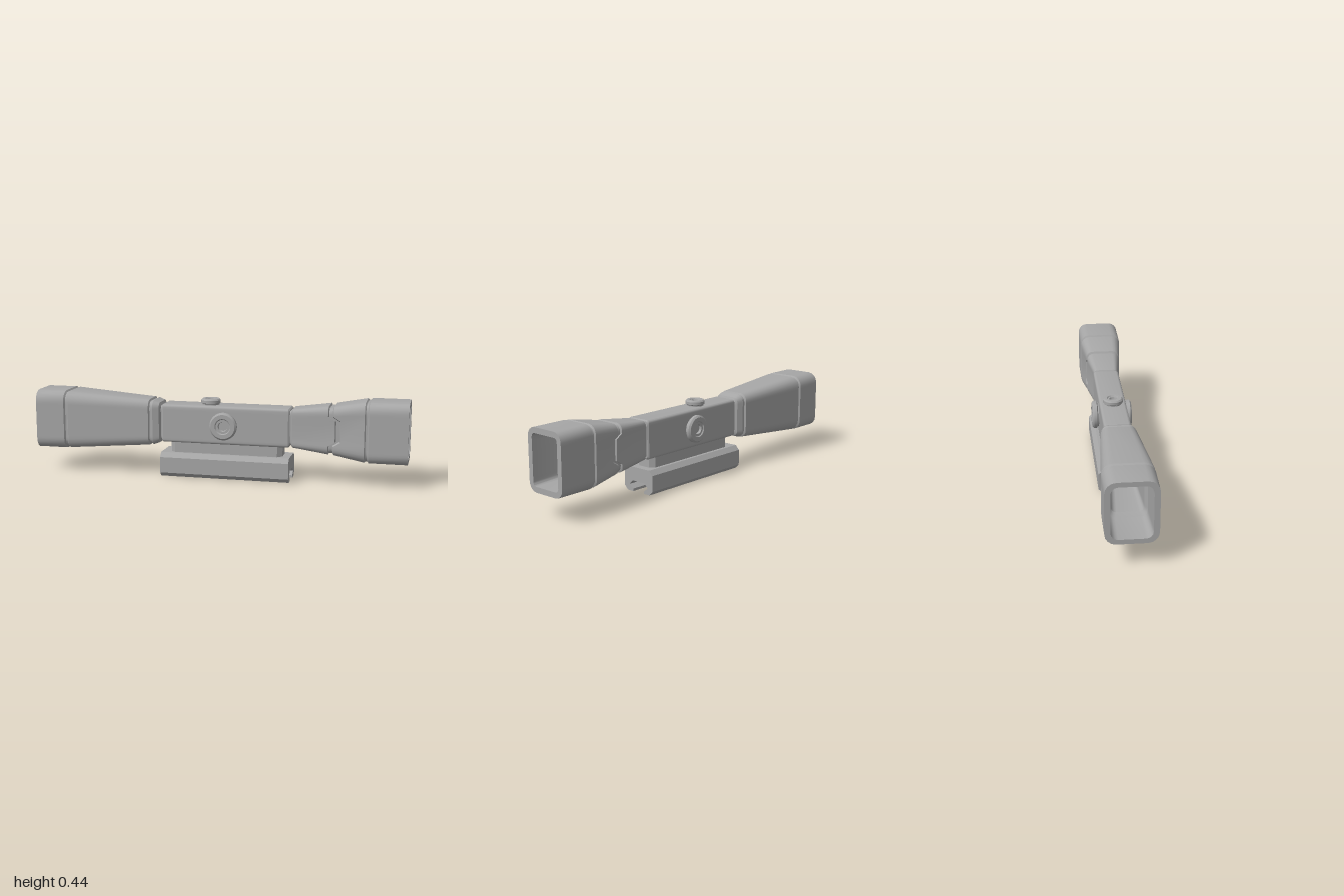
import * as THREE from 'three';
import { toCreasedNormals } from 'three/addons/utils/BufferGeometryUtils.js';

const CY = 0.286; // height of the optical axis

// Rounded-rectangle cross-section at x; jog pushes the middle of both sides along x
function ring([x, hy, hz, r, jog = 0]) {
  const pts = [], steps = 4;
  const corner = (sy, sz, start) => {
    for (let i = 0; i <= steps; i++) {
      const a = start + (i / steps) * Math.PI / 2;
      pts.push([x, CY + sy * (hy - r) + r * Math.cos(a), sz * (hz - r) + r * Math.sin(a)]);
    }
  };
  const side = (s) => {
    for (const f of [0.85, 0.6, -0.6, -0.85]) {
      pts.push([x + (Math.abs(f) < 0.7 ? jog : 0), CY + s * f * (hy - r), s * hz]);
    }
  };
  corner(1, 1, 0);
  side(1);
  corner(-1, 1, Math.PI / 2);
  corner(-1, -1, Math.PI);
  side(-1);
  corner(1, -1, Math.PI * 1.5);
  return pts;
}

// Skin through a row of cross-sections
function loft(sections) {
  const rings = sections.map(ring), n = rings[0].length, index = [];
  for (let i = 0; i < rings.length - 1; i++) {
    for (let j = 0; j < n; j++) {
      const a = i * n + j, b = i * n + (j + 1) % n;
      index.push(a, b, a + n, b, b + n, a + n);
    }
  }
  const g = new THREE.BufferGeometry();
  g.setAttribute('position', new THREE.Float32BufferAttribute(rings.flat(2), 3));
  g.setIndex(index);
  return toCreasedNormals(g, 0.5);
}

function polygon(points) {
  return new THREE.Shape(points.map(([x, y]) => new THREE.Vector2(x, y)));
}

// Turret knob with a raised lip and a recessed centre
function knob(r, h) {
  const profile = [
    [r * 0.86, -0.02], [r * 0.86, h * 0.2], [r, h * 0.35], [r, h * 0.78], [r * 0.88, h],
    [r * 0.58, h], [r * 0.52, h * 0.85], [r * 0.36, h * 0.85], [r * 0.32, h * 0.5], [0, h * 0.5],
  ].map(([x, y]) => new THREE.Vector2(x, y));
  return toCreasedNormals(new THREE.LatheGeometry(profile, 32), 0.5);
}

export function createModel() {
  const model = new THREE.Group();
  const grey = new THREE.MeshStandardMaterial({ color: 0xa6a6a6 });
  grey.name = 'matte grey';
  const add = (name, geometry) => {
    const m = new THREE.Mesh(geometry, grey);
    m.name = name;
    model.add(m);
    return m;
  };

  // Large front bell with end cap, taper and collar: [x, half height, half width, radius]
  add('objectiveHousing', loft([
    [-1, 0.135, 0.098, 0.035], [-1, 0.159, 0.126, 0.055],
    [-0.842, 0.159, 0.126, 0.055], [-0.835, 0.151, 0.118, 0.05],
    [-0.826, 0.151, 0.118, 0.05], [-0.818, 0.157, 0.126, 0.055],
    [-0.375, 0.124, 0.091, 0.04], [-0.369, 0.115, 0.083, 0.035],
    [-0.36, 0.115, 0.083, 0.035], [-0.352, 0.12, 0.086, 0.035],
    [-0.32, 0.108, 0.073, 0.025], [-0.312, 0.094, 0.06, 0.02], [-0.3, 0.094, 0.06, 0.02],
  ]));

  // Central tube with bevelled ends
  add('centralBody', loft([
    [-0.305, 0.09, 0.058, 0.012], [-0.305, 0.096, 0.064, 0.012], [-0.297, 0.102, 0.07, 0.014],
    [0.378, 0.102, 0.07, 0.014], [0.386, 0.096, 0.064, 0.012], [0.386, 0.09, 0.058, 0.012],
  ]));

  // Rear housing with a stepped seam across both sides
  add('eyepieceHousing', loft([
    [0.38, 0.09, 0.055, 0.015], [0.392, 0.09, 0.055, 0.015], [0.4, 0.102, 0.066, 0.02],
    [0.588, 0.126, 0.091, 0.034, 0.036], [0.593, 0.118, 0.083, 0.03, 0.036],
    [0.611, 0.118, 0.083, 0.03, 0.036], [0.617, 0.128, 0.094, 0.036, 0.036],
    [0.78, 0.157, 0.113, 0.047], [0.786, 0.15, 0.106, 0.043],
    [0.795, 0.15, 0.106, 0.043], [0.802, 0.159, 0.115, 0.048],
    [1, 0.159, 0.115, 0.048], [1, 0.13, 0.088, 0.02],
  ]));

  // Open bore running the full length
  add('bore', loft([
    [1, 0.13, 0.088, 0.02], [0.82, 0.124, 0.084, 0.02], [0.8, 0.109, 0.076, 0.018],
    [0.4, 0.066, 0.039, 0.012], [-0.31, 0.066, 0.039, 0.012],
    [-0.8, 0.11, 0.078, 0.025], [-0.82, 0.128, 0.092, 0.032], [-1, 0.135, 0.098, 0.035],
  ]));

  // Spacer block between body and mount, with cut corners
  const spacer = new THREE.ExtrudeGeometry(polygon([
    [-0.235, -0.058], [0.32, -0.058], [0.345, -0.035], [0.345, 0.035],
    [0.32, 0.058], [-0.235, 0.058], [-0.26, 0.035], [-0.26, -0.035],
  ]), { depth: 0.07, bevelEnabled: false });
  spacer.rotateX(-Math.PI / 2).translate(0, 0.125, 0);
  add('mountSpacer', spacer);

  // Rail clamp: half profile mirrored across the centre
  const half = [[0.038, 0], [0.077, 0], [0.098, 0.022], [0.098, 0.106], [0.075, 0.13]];
  const slot = [[0.04, 0.057], [0.065, 0.033], [0.038, 0.013]];
  const mirror = (pts) => pts.map(([x, y]) => [-x, y]).reverse();
  const clamp = new THREE.ExtrudeGeometry(
    polygon([...half, ...mirror(half), ...mirror(slot), ...slot]),
    { depth: 0.695, bevelEnabled: false });
  clamp.rotateY(Math.PI / 2).translate(-0.308, 0, 0);
  add('railClamp', clamp);

  // Adjustment knobs: one on top, one on each side
  add('topKnob', knob(0.052, 0.034)).position.set(-0.05, 0.386, 0);
  for (const s of [1, -1]) {
    const k = add(s > 0 ? 'frontKnob' : 'backKnob', knob(0.073, 0.036));
    k.rotation.x = s * Math.PI / 2;
    k.position.set(0.037, 0.287, s * 0.068);
  }
  return model;
}
